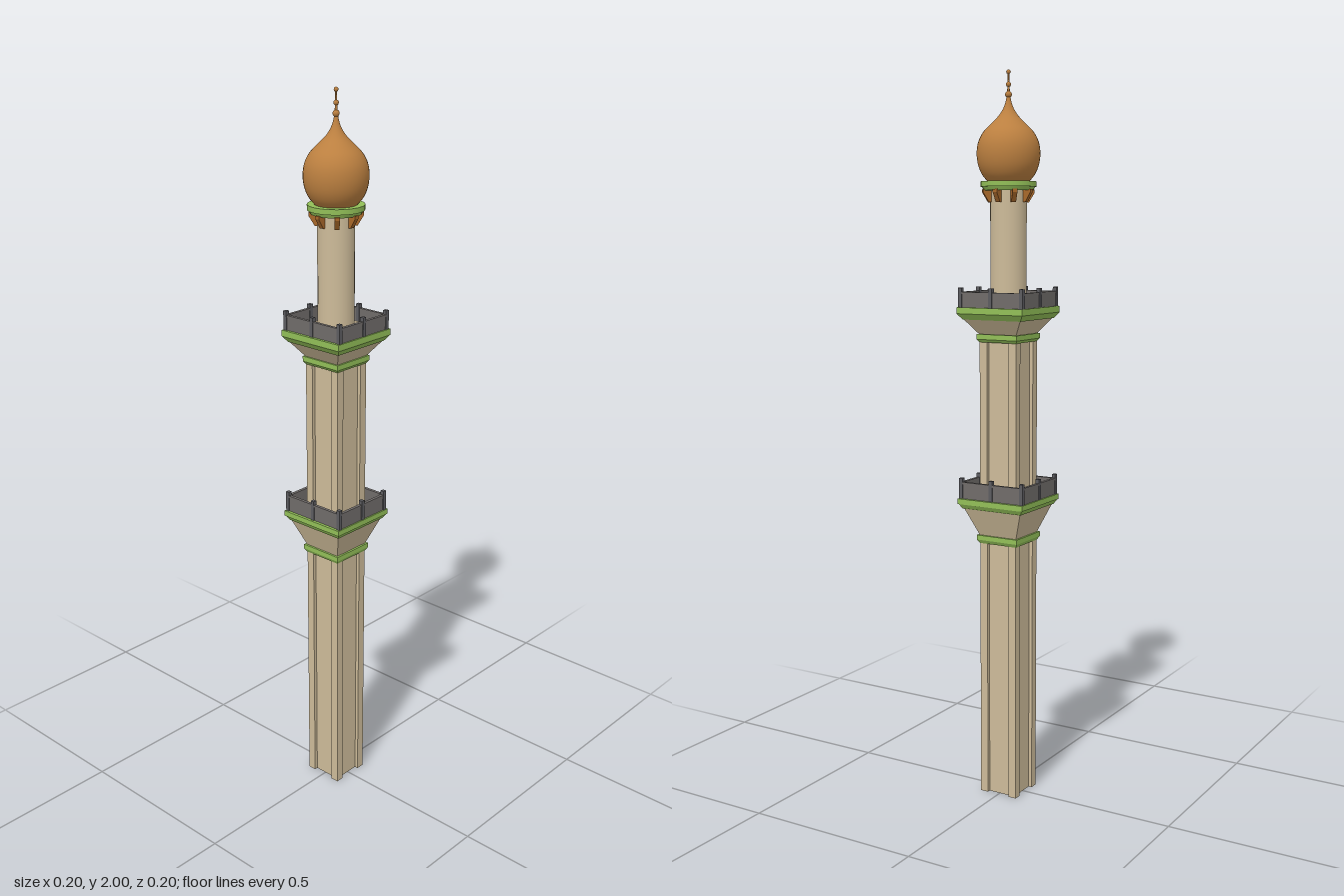
import * as THREE from 'three';

const mat = (name, color) => {
  const m = new THREE.MeshStandardMaterial({ color });
  m.name = name;
  return m;
};

export function createModel() {
  const stone = mat('sandstone', 0xcdbb99);
  const green = mat('green trim', 0x92bf58);
  const copper = mat('copper dome', 0xbc8040);
  const wood = mat('bracket wood', 0xa8682a);
  const iron = mat('railing grey', 0x706c6a);
  const steel = mat('post grey', 0x5c5c60);

  const root = new THREE.Group();
  root.name = 'minaret';

  const add = (name, geo, material, x = 0, y = 0, z = 0, parent = root) => {
    const mesh = new THREE.Mesh(geo, material);
    mesh.name = name;
    mesh.position.set(x, y, z);
    parent.add(mesh);
    return mesh;
  };

  // Square block whose half-width runs from h0 at y0 to h1 at y1
  const taper = (name, h0, h1, y0, y1, material) => {
    const geo = new THREE.CylinderGeometry(h1 * Math.SQRT2, h0 * Math.SQRT2, y1 - y0, 4)
      .rotateY(Math.PI / 4).toNonIndexed();
    geo.computeVertexNormals();
    return add(name, geo, material, 0, (y0 + y1) / 2);
  };

  // Square shaft with a shallow recess in each face, leaving corner pilasters
  const shaft = (name, y0, y1) => {
    const h = 0.057, i = 0.034, d = 0.047;
    const quarter = [[h, -i], [d, -i], [d, i], [h, i], [h, h]];
    const pts = [];
    for (let k = 0; k < 4; k++) {
      const c = Math.round(Math.cos(k * Math.PI / 2)), s = Math.round(Math.sin(k * Math.PI / 2));
      for (const [x, y] of quarter) pts.push(new THREE.Vector2(x * c - y * s, x * s + y * c));
    }
    const geo = new THREE.ExtrudeGeometry(new THREE.Shape(pts), { depth: y1 - y0, bevelEnabled: false });
    add(name, geo.rotateX(-Math.PI / 2), stone, 0, y0);
  };

  // Railing with solid panels, a top bar and eight posts
  const railing = (name, y0, y1) => {
    const g = new THREE.Group();
    g.name = name;
    root.add(g);
    const X = 0.095, Z = 0.091, h = y1 - y0;
    for (const s of [-1, 1]) {
      add('railPanel', new THREE.BoxGeometry(2 * X, h, 0.006), iron, 0, y0 + h / 2, s * Z, g);
      add('railPanel', new THREE.BoxGeometry(0.006, h, 2 * Z), iron, s * X, y0 + h / 2, 0, g);
      add('railBar', new THREE.BoxGeometry(2 * X, 0.006, 0.009), iron, 0, y1, s * Z, g);
      add('railBar', new THREE.BoxGeometry(0.009, 0.006, 2 * Z), iron, s * X, y1, 0, g);
    }
    for (const i of [-1, 0, 1]) for (const k of [-1, 0, 1]) {
      if (!i && !k) continue;
      add('railPost', new THREE.BoxGeometry(0.011, h + 0.014, 0.011), steel, i * X, y0 + h / 2 + 0.007, k * Z, g);
    }
  };

  // Lower stage
  shaft('lowerShaft', 0, 0.74);
  taper('lowerCornice', 0.058, 0.064, 0.725, 0.735, green);
  taper('lowerCorniceBand', 0.064, 0.064, 0.735, 0.748, green);
  taper('lowerFlare', 0.058, 0.09, 0.748, 0.828, stone);
  taper('lowerBalconyEdge', 0.092, 0.1, 0.825, 0.838, green);
  taper('lowerBalcony', 0.102, 0.102, 0.838, 0.853, green);
  railing('lowerRailing', 0.853, 0.896);

  // Middle stage
  shaft('middleShaft', 0.853, 1.29);
  taper('middleCornice', 0.057, 0.063, 1.282, 1.29, green);
  taper('middleCorniceBand', 0.063, 0.063, 1.29, 1.304, green);
  taper('middleFlare', 0.058, 0.09, 1.304, 1.347, stone);
  taper('upperBalconyEdge', 0.09, 0.102, 1.344, 1.36, green);
  taper('upperBalcony', 0.102, 0.102, 1.36, 1.377, green);
  railing('upperRailing', 1.377, 1.415);
  taper('turretPlinth', 0.067, 0.067, 1.377, 1.388, stone);

  // Round turret with brackets and a green collar
  add('turret', new THREE.CylinderGeometry(0.049, 0.049, 0.31, 24), stone, 0, 1.543);
  const profile = new THREE.Shape([[0.045, 0], [0.055, 0], [0.071, 0.026], [0.071, 0.034], [0.045, 0.034]]
    .map(p => new THREE.Vector2(...p)));
  const bracketGeo = new THREE.ExtrudeGeometry(profile, { depth: 0.013, bevelEnabled: false }).translate(0, 0, -0.0065);
  for (let i = 0; i < 8; i++) {
    add('bracket', bracketGeo, wood, 0, 1.655).rotation.y = i * Math.PI / 4;
  }
  add('collarBase', new THREE.CylinderGeometry(0.072, 0.066, 0.012, 32), green, 0, 1.692);
  add('collar', new THREE.CylinderGeometry(0.075, 0.075, 0.014, 32), green, 0, 1.703);

  // Onion dome
  const curve = new THREE.SplineCurve([
    [0.054, 1.708], [0.07, 1.727], [0.081, 1.752], [0.085, 1.782], [0.081, 1.812], [0.068, 1.838],
    [0.047, 1.86], [0.027, 1.88], [0.014, 1.9], [0.007, 1.92], [0.004, 1.94],
  ].map(p => new THREE.Vector2(...p)));
  add('dome', new THREE.LatheGeometry(curve.getPoints(40), 40), copper);

  // Finial with beads
  add('finialRod', new THREE.CylinderGeometry(0.002, 0.004, 0.065, 10), copper, 0, 1.962);
  for (const [r, y] of [[0.009, 1.936], [0.007, 1.962], [0.006, 1.994]]) {
    add('finialBead', new THREE.SphereGeometry(r, 14, 10), copper, 0, y);
  }
  return root;
}
